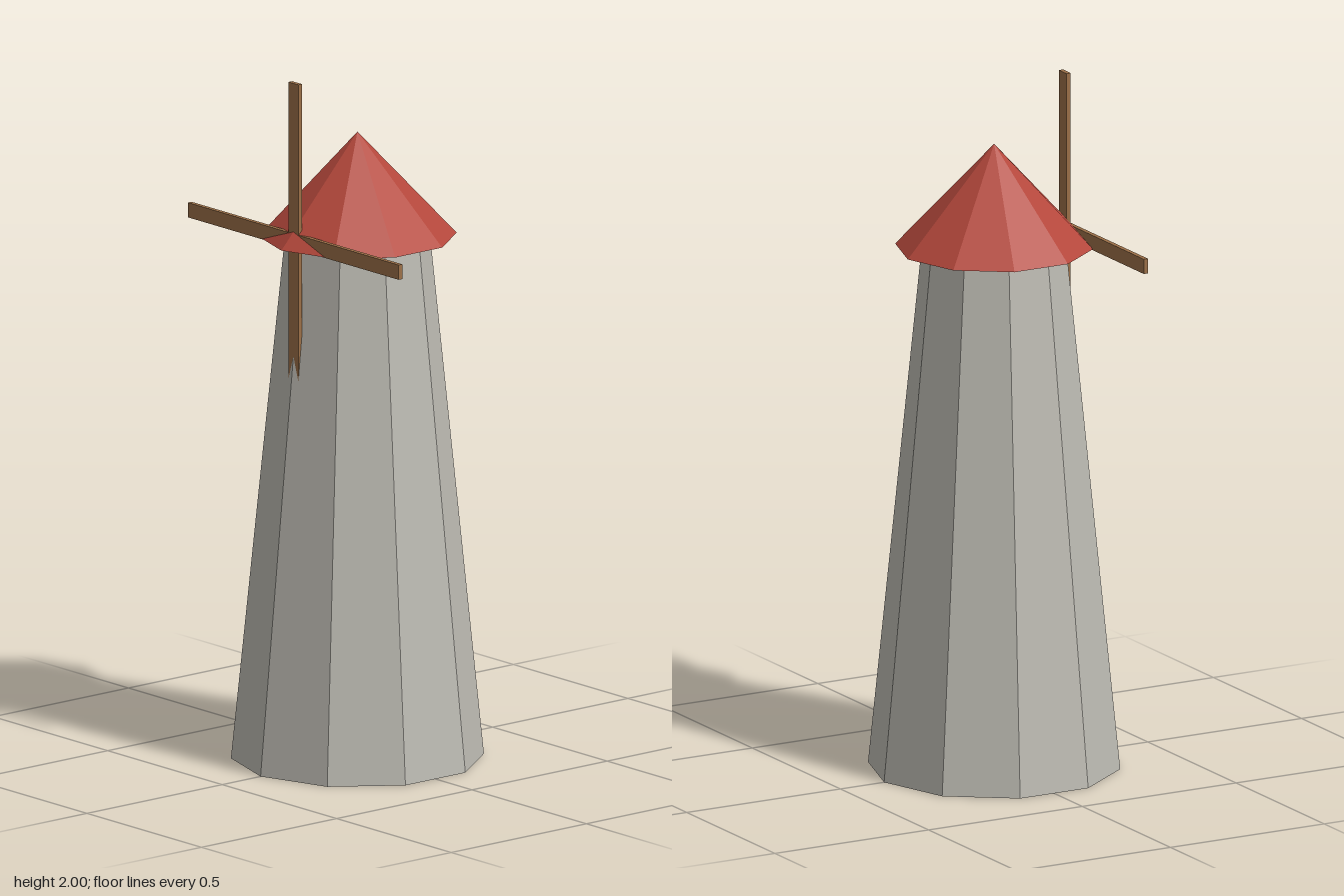
import * as THREE from 'three';

export function createModel() {
  const group = new THREE.Group();
  group.name = 'windmill';

  const mat = (name, color) => {
    const m = new THREE.MeshStandardMaterial({ color, flatShading: true });
    m.name = name;
    return m;
  };
  const stone = mat('stone grey', 0xbdbbb3);
  const tile = mat('roof red', 0xb5483c);
  const wood = mat('sail wood', 0x9c7048);

  const add = (name, geometry, material, x, y, z) => {
    const mesh = new THREE.Mesh(geometry, material);
    mesh.name = name;
    mesh.position.set(x, y, z);
    group.add(mesh);
    return mesh;
  };

  const sides = 10;
  const towerHeight = 1.52;
  const roofHeight = 0.3;

  // Tapered ten-sided tower
  add('tower', new THREE.CylinderGeometry(0.205, 0.358, towerHeight, sides), stone, 0, towerHeight / 2, 0);

  // Overhanging pointed roof
  add('roof', new THREE.ConeGeometry(0.281, roofHeight, sides), tile, 0, towerHeight + roofHeight / 2, 0);

  // Two crossed sail beams, partly sunk into the roof and tower
  const length = 0.92, width = 0.043, depth = 0.0135;
  add('horizontalSail', new THREE.BoxGeometry(length, width, depth), wood, 0, 1.54, 0.23);
  add('verticalSail', new THREE.BoxGeometry(width, length, depth), wood, 0, 1.54, 0.23);

  return group;
}
